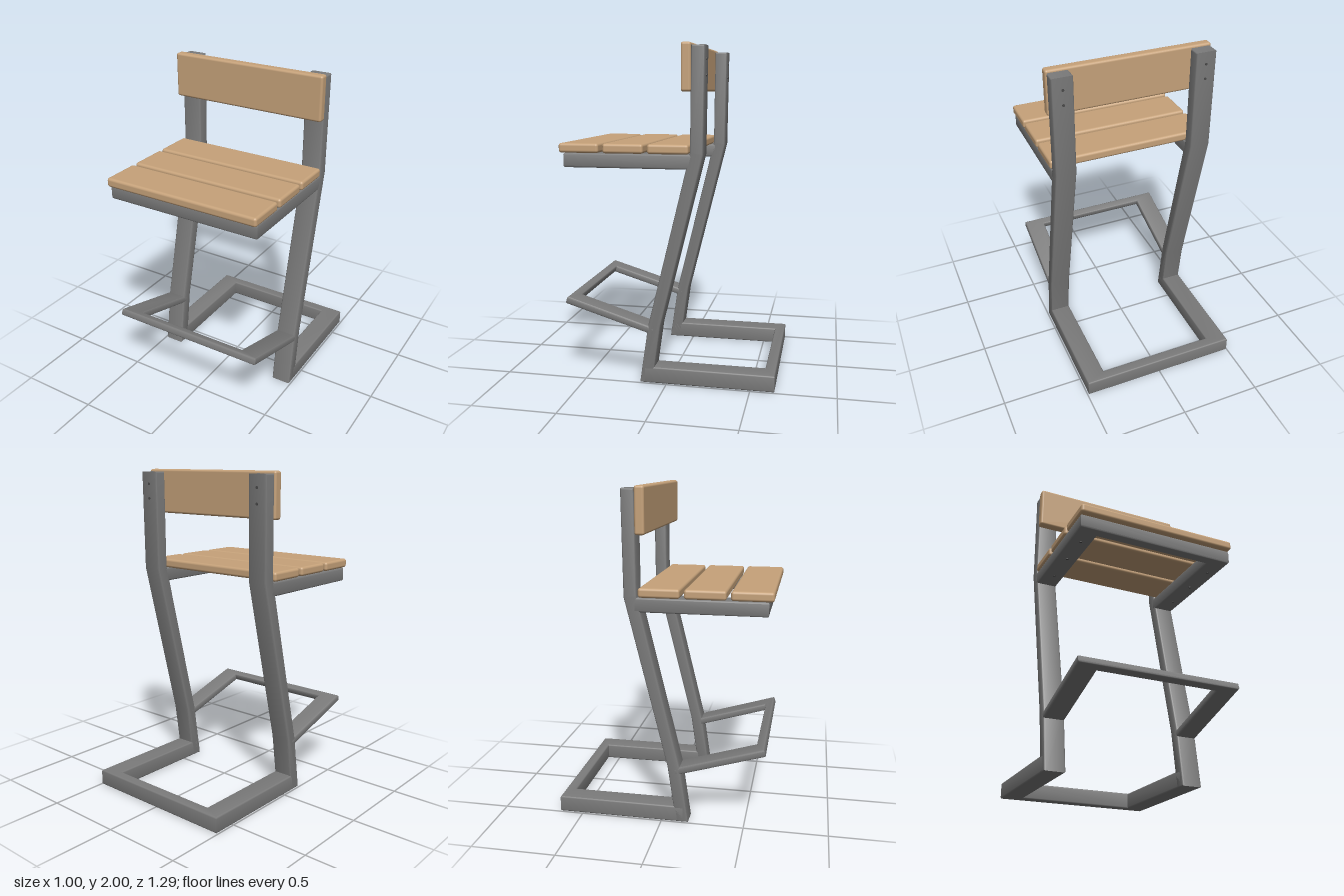
import * as THREE from 'three';
import { toCreasedNormals } from 'three/addons/utils/BufferGeometryUtils.js';
import { RoundedBoxGeometry } from 'three/addons/geometries/RoundedBoxGeometry.js';

const HALF = 0.493;  // half width of the metal frame
const BAR = 0.126;   // width of the flat bars

// Extrude a closed outline with softly rounded edges, keeping the outline size
function softExtrude(points, depth, r) {
  const shape = new THREE.Shape(points.map(([x, y]) => new THREE.Vector2(x, y)));
  const g = new THREE.ExtrudeGeometry(shape, {
    depth: depth - 2 * r, bevelEnabled: true, bevelThickness: r,
    bevelSize: r, bevelOffset: -r, bevelSegments: 3,
  });
  g.translate(0, 0, r - depth / 2);
  return toCreasedNormals(g, 0.7);
}

// Flat U frame lying in the xz plane: two side bars from z0 to z1, joined at z1
function uFrame(z0, z1, crossDepth, height) {
  const inner = z1 - Math.sign(z1 - z0) * crossDepth;
  const xi = HALF - BAR;
  const g = softExtrude([
    [-HALF, z0], [-HALF, z1], [HALF, z1], [HALF, z0],
    [xi, z0], [xi, inner], [-xi, inner], [-xi, z0],
  ], height, 0.01);
  return g.rotateX(Math.PI / 2);
}

export function createModel() {
  const model = new THREE.Group();
  model.name = 'barStool';
  const metal = new THREE.MeshStandardMaterial({ name: 'grey metal', color: 0x7b7b7b });
  const wood = new THREE.MeshStandardMaterial({ name: 'light wood', color: 0xc6a27a });
  const dark = new THREE.MeshStandardMaterial({ name: 'dark screw', color: 0x4a4a4a });

  const add = (name, geometry, material, x = 0, y = 0, z = 0) => {
    const mesh = new THREE.Mesh(geometry, material);
    mesh.name = name;
    mesh.position.set(x, y, z);
    model.add(mesh);
    return mesh;
  };

  // Bent side legs, drawn as (z, y) side profiles
  const legGeometry = softExtrude([
    [0.163, 0], [0.112, 0.35], [-0.14, 1.385], [-0.146, 1.985],
    [-0.225, 1.985], [-0.216, 1.375], [0.037, 0.355], [0.088, 0],
  ], BAR, 0.01).rotateY(-Math.PI / 2);
  for (const [side, s] of [['left', 1], ['right', -1]]) {
    const x = s * (HALF - BAR / 2);
    add(side + 'Leg', legGeometry, metal, x);

    // Screws behind the backrest and under the seat
    const screw = new THREE.CylinderGeometry(0.008, 0.008, 0.008, 12);
    for (const y of [1.82, 1.91]) {
      add(side + 'BackScrew', screw, dark, x, y, -0.2225).rotation.x = Math.PI / 2;
    }
    for (const z of [0.46, 0.245, 0.02]) add(side + 'SeatScrew', screw, dark, x, 1.289, z);
  }

  // Floor frame open to the front, seat frame open to the back
  add('baseFrame', uFrame(0.13, -0.643, 0.065, 0.1), metal, 0, 0.05);
  add('seatFrame', uFrame(-0.15, 0.613, 0.065, 0.085), metal, 0, 1.332);

  // Footrest rising towards the front
  const footrest = add('footrest', uFrame(0, 0.555, 0.055, 0.045), metal, 0, 0.324, 0.085);
  footrest.rotation.x = -0.294;

  // Wooden seat slats and backrest
  const slat = new RoundedBoxGeometry(1, 0.056, 0.242, 3, 0.016);
  for (const z of [0.521, 0.255, -0.011]) add('seatSlat', slat, wood, 0, 1.403, z);
  add('backrest', new RoundedBoxGeometry(1, 0.272, 0.058, 3, 0.014), wood, 0, 1.864, -0.117);

  return model;
}
